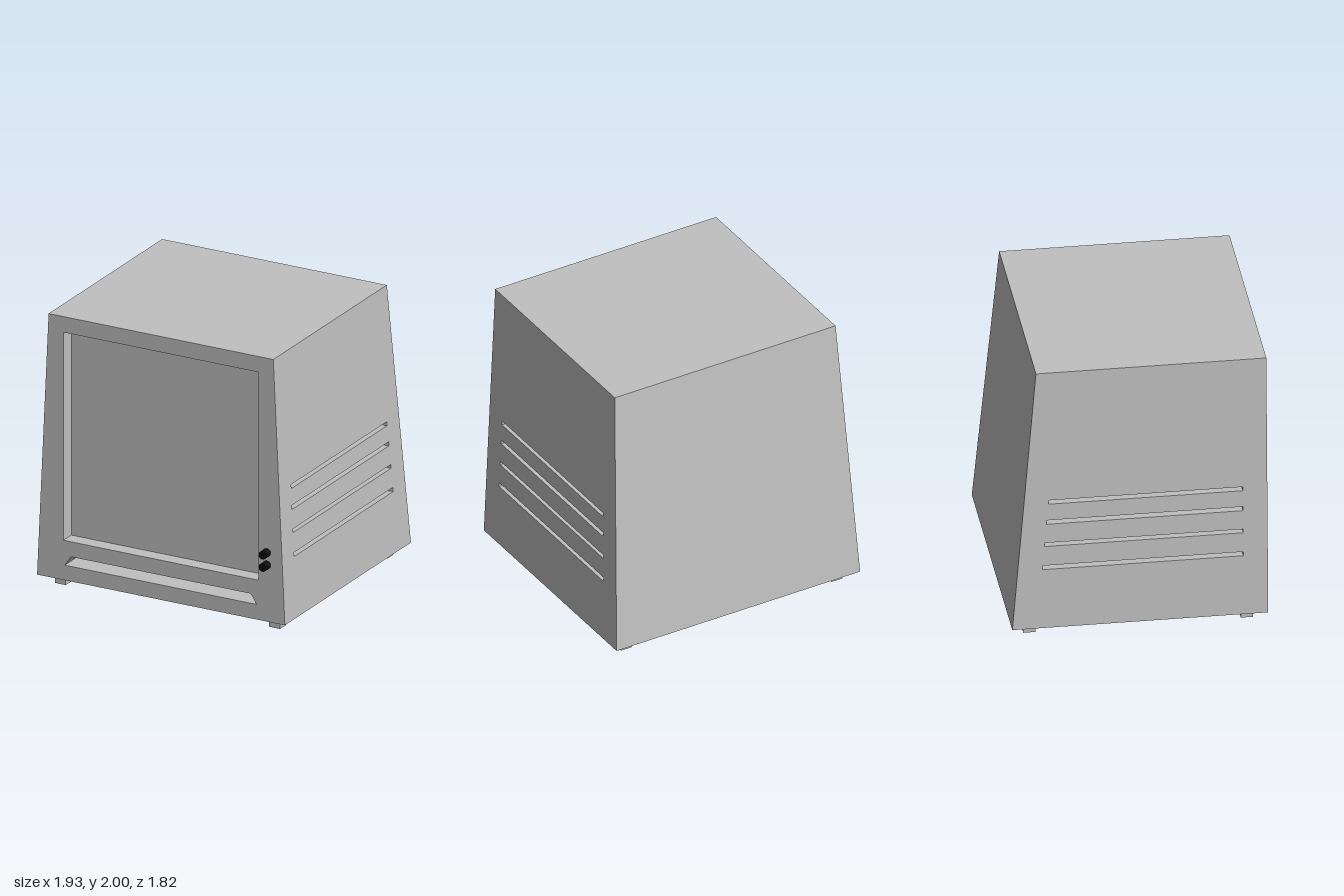
import * as THREE from 'three';
import { mergeGeometries } from 'three/addons/utils/BufferGeometryUtils.js';

const V2 = (x, y) => new THREE.Vector2(x, y);
const V3 = (x, y, z) => new THREE.Vector3(x, y, z);
const rect = (x0, y0, x1, y1) => [V2(x0, y0), V2(x1, y0), V2(x1, y1), V2(x0, y1)];

// Case dimensions: wide base tapering on the sides and the back, upright front
const Y0 = 0.075, Y1 = 2, H = Y1 - Y0;
const BX = 0.965, TX = 0.875;
const FZ = 0.848, BZ = -0.91, TZ = -0.735;

// Flat panel in the XY plane facing +z, with pockets sunk into it
function panelGeometry(outline, pockets = []) {
  const shape = new THREE.Shape(outline);
  const parts = [];
  for (const { points, depth } of pockets) {
    const loop = THREE.ShapeUtils.isClockWise(points) ? [...points].reverse() : points;
    shape.holes.push(new THREE.Path(loop));
    const walls = [];
    loop.forEach((a, i) => {
      const b = loop[(i + 1) % loop.length];
      walls.push(a.x, a.y, 0, b.x, b.y, 0, b.x, b.y, -depth);
      walls.push(a.x, a.y, 0, b.x, b.y, -depth, a.x, a.y, -depth);
    });
    const wallGeo = new THREE.BufferGeometry();
    wallGeo.setAttribute('position', new THREE.Float32BufferAttribute(walls, 3));
    const floor = new THREE.ShapeGeometry(new THREE.Shape(loop)).toNonIndexed();
    floor.translate(0, 0, -depth);
    parts.push(wallGeo, floor);
  }
  parts.push(new THREE.ShapeGeometry(shape).toNonIndexed());
  parts.forEach((g) => { g.deleteAttribute('uv'); g.computeVertexNormals(); });
  return mergeGeometries(parts);
}

export function createModel() {
  const model = new THREE.Group();
  model.name = 'monitor';
  const grey = new THREE.MeshStandardMaterial({ color: 0xc0c0c0 });
  grey.name = 'caseGrey';
  const black = new THREE.MeshStandardMaterial({ color: 0x0a0a0a });
  black.name = 'knobBlack';

  const add = (name, geometry, material) => {
    const mesh = new THREE.Mesh(geometry, material);
    mesh.name = name;
    model.add(mesh);
    return mesh;
  };

  // Places a panel by its origin and its in-plane right and up directions
  const addPanel = (name, origin, right, up, outline, pockets) => {
    const u = right.clone().normalize(), v = up.clone().normalize();
    const m = new THREE.Matrix4().makeBasis(u, v, u.clone().cross(v)).setPosition(origin);
    add(name, panelGeometry(outline, pockets).applyMatrix4(m), grey);
  };

  // Front with the sunken screen and the finger recess below it
  const screen = { points: rect(-0.76, 0.365, 0.76, 1.885), depth: 0.11 };
  const grip = { points: [V2(-0.75, 0.185), V2(0.745, 0.185), V2(0.7, 0.255), V2(-0.7, 0.255)], depth: 0.2 };
  addPanel('frontPanel', V3(0, 0, FZ), V3(1, 0, 0), V3(0, 1, 0),
    [V2(-BX, Y0), V2(BX, Y0), V2(TX, Y1), V2(-TX, Y1)], [screen, grip]);

  // Sides with four vent slots each: bottom height, top height, rear end
  const slots = [[1.008, 1.037, -0.655], [0.857, 0.887, -0.67], [0.69, 0.717, -0.685], [0.516, 0.546, -0.7]];
  const sideSlope = Math.hypot(H, BX - TX);
  for (const s of [1, -1]) {
    const at = (z, y) => V2(-s * z, ((y - Y0) / H) * sideSlope);
    const vents = slots.map(([low, high, rear]) => ({
      points: [at(0.68, low), at(rear, low), at(rear, high), at(0.68, high)],
      depth: 0.12,
    }));
    addPanel(s > 0 ? 'leftPanel' : 'rightPanel', V3(s * BX, Y0, 0), V3(0, 0, -s), V3(s * (TX - BX), H, 0),
      [at(FZ, Y0), at(BZ, Y0), at(TZ, Y1), at(FZ, Y1)], vents);
  }

  // Sloping back, top and underside
  const backSlope = Math.hypot(H, TZ - BZ);
  addPanel('backPanel', V3(0, Y0, BZ), V3(-1, 0, 0), V3(0, H, TZ - BZ),
    [V2(-BX, 0), V2(BX, 0), V2(TX, backSlope), V2(-TX, backSlope)]);
  addPanel('topPanel', V3(0, Y1, 0), V3(1, 0, 0), V3(0, 0, -1), rect(-TX, -FZ, TX, -TZ));
  addPanel('bottomPanel', V3(0, Y0, 0), V3(1, 0, 0), V3(0, 0, 1), rect(-BX, BZ, BX, FZ));

  // Four square feet
  for (const x of [-0.835, 0.835]) {
    for (const z of [0.715, -0.78]) {
      add('foot', new THREE.BoxGeometry(0.085, Y0, 0.085), grey).position.set(x, Y0 / 2, z);
    }
  }

  // Two control knobs on the front
  for (const y of [0.58, 0.49]) {
    const knob = new THREE.CylinderGeometry(0.03, 0.03, 0.062, 24).rotateX(Math.PI / 2);
    add('knob', knob, black).position.set(0.825, y, FZ + 0.031);
  }

  return model;
}
